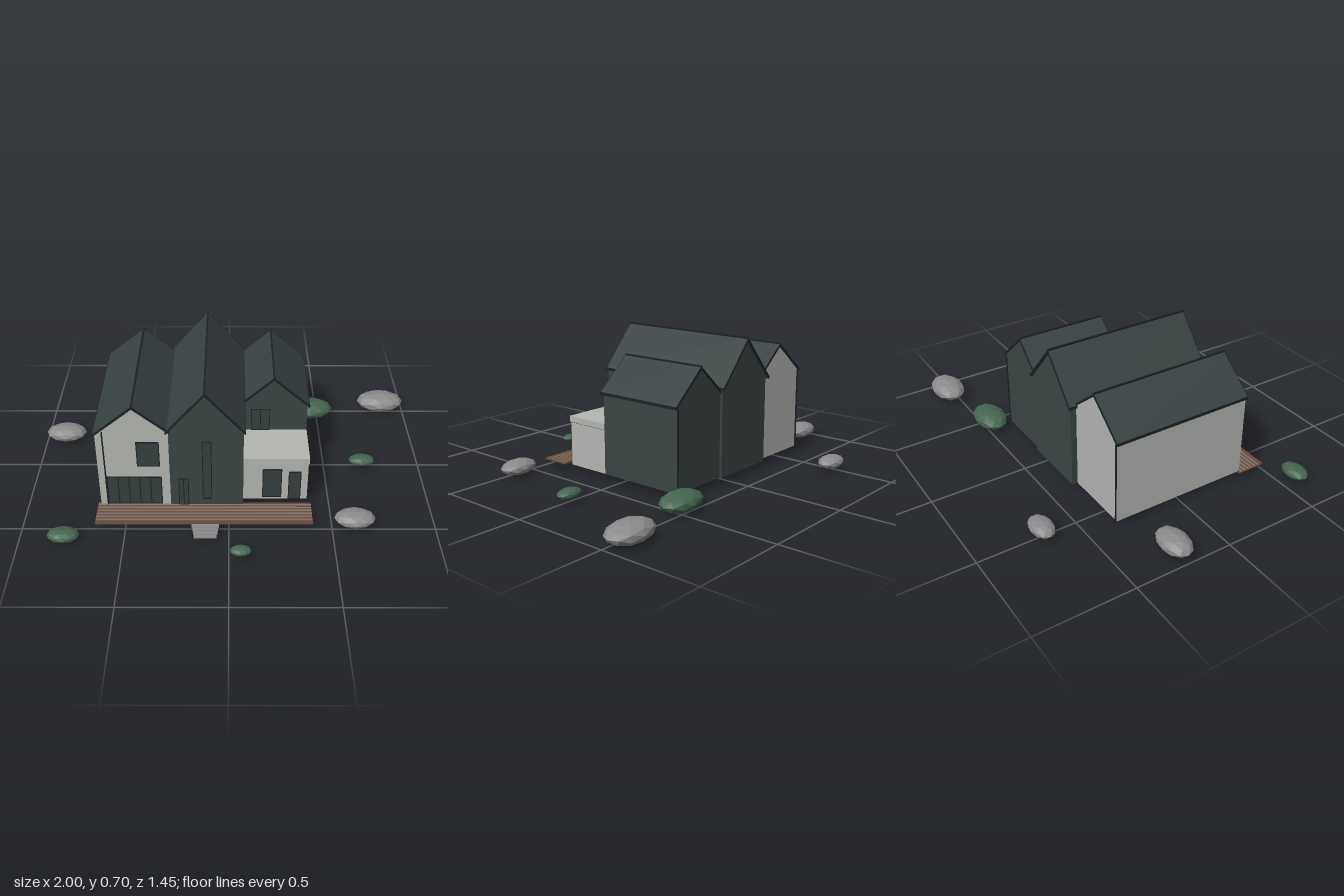
import * as THREE from 'three';

const mat = (name, color) => {
  const m = new THREE.MeshStandardMaterial({ color });
  m.name = name;
  return m;
};

export function createModel() {
  const model = new THREE.Group();
  model.name = 'house';
  const light = mat('pale render', 0xb4b6b2);
  const dark = mat('dark cladding', 0x3b4444);
  const roofMat = mat('roof slate', 0x384142);
  const trim = mat('black trim', 0x1d2222);
  const glass = mat('dark glass', 0x353f3f);
  const wood = mat('deck brown', 0x6b4d3f);
  const pale = mat('weathered board', 0x85776a);
  const orange = mat('warm door', 0xc8702c);
  const stone = mat('grey stone', 0x8b8b8b);
  const green = mat('shrub green', 0x446550);
  const floorY = 0.037;

  const add = (parent, name, geo, material) => {
    const m = new THREE.Mesh(geo, material);
    m.name = name;
    parent.add(m);
    return m;
  };
  // box from its minimum and maximum corners
  const box = (parent, name, x0, x1, y0, y1, z0, z1, material) => {
    const m = add(parent, name, new THREE.BoxGeometry(x1 - x0, y1 - y0, z1 - z0), material);
    m.position.set((x0 + x1) / 2, (y0 + y1) / 2, (z0 + z1) / 2);
    return m;
  };
  // flat polygon in x, y pulled from z0 to z1
  const slab = (parent, name, pts, z0, z1, material) => {
    const shape = new THREE.Shape(pts.map(p => new THREE.Vector2(p[0], p[1])));
    const geo = new THREE.ExtrudeGeometry(shape, { depth: z1 - z0, bevelEnabled: false });
    geo.translate(0, 0, z0);
    return add(parent, name, geo, material);
  };

  // gabled wing: hollow walls, roof folded over the ridge, trim along its edges
  const wing = ({ name, eaveL, ridge, eaveR, wallL, wallR, wallZ, roofZ, material, leftStart }) => {
    const g = new THREE.Group();
    g.name = name;
    model.add(g);
    const t = 0.014, w = 0.012;
    const roofY = x => {
      const e = x < ridge[0] ? eaveL : eaveR;
      return e[1] + (ridge[1] - e[1]) * (x - e[0]) / (ridge[0] - e[0]);
    };
    const topL = roofY(wallL) - t * 0.8, topR = roofY(wallR) - t * 0.8;
    const gable = [[wallL, floorY], [wallR, floorY], [wallR, topR], [ridge[0], ridge[1] - t * 0.8], [wallL, topL]];
    slab(g, 'frontGable', gable, wallZ[1] - w, wallZ[1], material);
    slab(g, 'backGable', gable, wallZ[0], wallZ[0] + w, material);
    box(g, 'leftmostWall', wallL, wallL + w, floorY, topL, wallZ[0] + w, leftStart ?? wallZ[1] - w, material);
    box(g, 'rightmostWall', wallR - w, wallR, floorY, topR, wallZ[0] + w, wallZ[1] - w, material);
    const fold = (a, b) => [
      [eaveL[0], eaveL[1] - b], [ridge[0], ridge[1] - b], [eaveR[0], eaveR[1] - b],
      [eaveR[0], eaveR[1] - a], [ridge[0], ridge[1] - a], [eaveL[0], eaveL[1] - a]];
    slab(g, 'roof', fold(0, t), roofZ[0] + 0.004, roofZ[1] - 0.004, roofMat);
    slab(g, 'frontVerge', fold(0, t), roofZ[1] - 0.004, roofZ[1], trim);
    slab(g, 'backVerge', fold(0, t), roofZ[0], roofZ[0] + 0.004, trim);
    box(g, 'ridgeCap', ridge[0] - 0.004, ridge[0] + 0.004, ridge[1] - 0.006, ridge[1] + 0.004, ...roofZ, trim);
    for (const e of [eaveL, eaveR])
      box(g, 'gutter', e[0] - 0.003, e[0] + 0.003, e[1] - t, e[1], ...roofZ, trim);
    return g;
  };

  const paleWing = wing({
    name: 'paleWing', eaveL: [-0.638, 0.47], ridge: [-0.448, 0.625], eaveR: [-0.282, 0.487],
    wallL: -0.63, wallR: -0.285, wallZ: [-0.36, 0.36], roofZ: [-0.367, 0.366], material: light,
  });
  const middleWing = wing({
    name: 'middleWing', eaveL: [-0.297, 0.485], ridge: [-0.112, 0.7], eaveR: [0.077, 0.485],
    wallL: -0.285, wallR: 0.07, wallZ: [-0.39, 0.362], roofZ: [-0.405, 0.37], material: dark, leftStart: -0.34,
  });
  const rearWing = wing({
    name: 'rearWing', eaveL: [0.068, 0.47], ridge: [0.22, 0.608], eaveR: [0.398, 0.45],
    wallL: 0.071, wallR: 0.39, wallZ: [-0.378, 0.08], roofZ: [-0.382, 0.095], material: dark,
  });

  // flat-roofed front room, open underneath
  const room = new THREE.Group();
  room.name = 'frontRoom';
  model.add(room);
  box(room, 'roomFront', 0.071, 0.388, floorY, 0.27, 0.303, 0.315, light);
  box(room, 'roomSide', 0.376, 0.388, floorY, 0.27, 0.08, 0.303, light);
  box(room, 'roomInnerSide', 0.071, 0.083, floorY, 0.27, 0.08, 0.303, light);
  box(room, 'flatRoof', 0.071, 0.392, 0.262, 0.292, 0.08, 0.322, light);
  box(room, 'roofJointLine', 0.071, 0.39, 0.26, 0.263, 0.08, 0.319, trim);

  // glazed opening on a front wall: thin frame, glass and upright bars
  const opening = (parent, name, x0, x1, y0, y1, z, bars = 0) => {
    const g = new THREE.Group();
    g.name = name;
    parent.add(g);
    const f = 0.004;
    box(g, 'glass', x0, x1, y0, y1, z, z + 0.002, glass);
    box(g, 'frameTop', x0, x1, y1 - f, y1, z, z + 0.005, trim);
    box(g, 'frameSill', x0, x1, y0, y0 + f, z, z + 0.005, trim);
    for (let i = 0; i <= bars + 1; i++) {
      const x = x0 + (x1 - x0 - f) * i / (bars + 1);
      box(g, 'frameBar', x, x + f, y0, y1, z, z + 0.005, trim);
    }
  };
  opening(paleWing, 'upperWindow', -0.44, -0.33, 0.28, 0.423, 0.36);
  opening(paleWing, 'wideGlazing', -0.592, -0.325, 0.047, 0.215, 0.36, 4);
  opening(rearWing, 'upperRearWindow', 0.11, 0.205, 0.292, 0.42, 0.08, 1);
  opening(room, 'roomWindow', 0.165, 0.26, 0.052, 0.225, 0.315);
  opening(room, 'roomDoor', 0.293, 0.355, 0.04, 0.21, 0.315);
  opening(middleWing, 'tallSlit', -0.128, -0.082, 0.08, 0.43, 0.362);
  opening(middleWing, 'entranceDoor', -0.245, -0.195, 0.04, 0.205, 0.362, 1);

  // warm inner faces of doors and windows
  box(room, 'roomWindowInner', 0.165, 0.26, 0.052, 0.225, 0.3, 0.303, orange);
  box(room, 'roomDoorInner', 0.293, 0.355, 0.04, 0.21, 0.3, 0.303, orange);
  box(middleWing, 'entranceInner', -0.245, -0.085, 0.04, 0.205, 0.346, 0.35, orange);

  // downpipes
  for (const [x, z, top] of [[-0.595, 0.363, 0.48], [-0.626, -0.363, 0.46], [0.386, -0.38, 0.44]])
    box(model, 'downpipe', x - 0.003, x + 0.003, floorY, top, z - 0.003, z + 0.003, trim);

  // boarded deck, with the floor that runs on under the pale wing
  const deck = new THREE.Group();
  deck.name = 'deck';
  model.add(deck);
  box(deck, 'deckBase', -0.645, 0.405, 0.032, 0.038, 0.35, 0.5, wood);
  const boards = 14;
  for (let i = 0; i < boards; i++) {
    const z = 0.35 + i * 0.15 / boards;
    box(deck, 'board', -0.645, 0.405, 0.038, 0.042, z, z + 0.15 / boards - 0.002,
      i % 2 && i < boards - 2 ? pale : wood);
  }
  box(deck, 'innerFloor', -0.618, -0.297, 0.032, 0.038, 0.0, 0.35, wood);

  // steps narrowing towards the garden
  const steps = new THREE.Group();
  steps.name = 'steps';
  model.add(steps);
  for (let i = 0; i < 4; i++) {
    const half = 0.066 - i * 0.004;
    box(steps, 'step', -0.113 - half, -0.113 + half, 0.028 - i * 0.004, 0.035 - i * 0.004,
      0.5 + i * 0.02, 0.52 + i * 0.02, stone);
  }

  // flattened faceted rocks and shrubs: x, y, z, half width
  const blob = new THREE.IcosahedronGeometry(1, 1);
  for (const m of [stone, green]) m.flatShading = true;
  const scatter = (name, material, list) => list.forEach(([x, y, z, r]) => {
    const m = add(model, name, blob, material);
    m.position.set(x, y, z);
    m.scale.set(r, r * 0.385, r * 0.66);
  });
  scatter('rock', stone, [
    [-0.485, 0.046, -0.67, 0.086], [-0.892, 0.05, -0.23, 0.108],
    [0.87, 0.053, -0.535, 0.13], [0.61, 0.049, 0.47, 0.1]]);
  scatter('shrub', green, [
    [0.463, 0.05, -0.465, 0.124], [0.7, 0.041, 0.005, 0.068],
    [-0.785, 0.044, 0.585, 0.078], [0.055, 0.039, 0.685, 0.051]]);

  return model;
}
